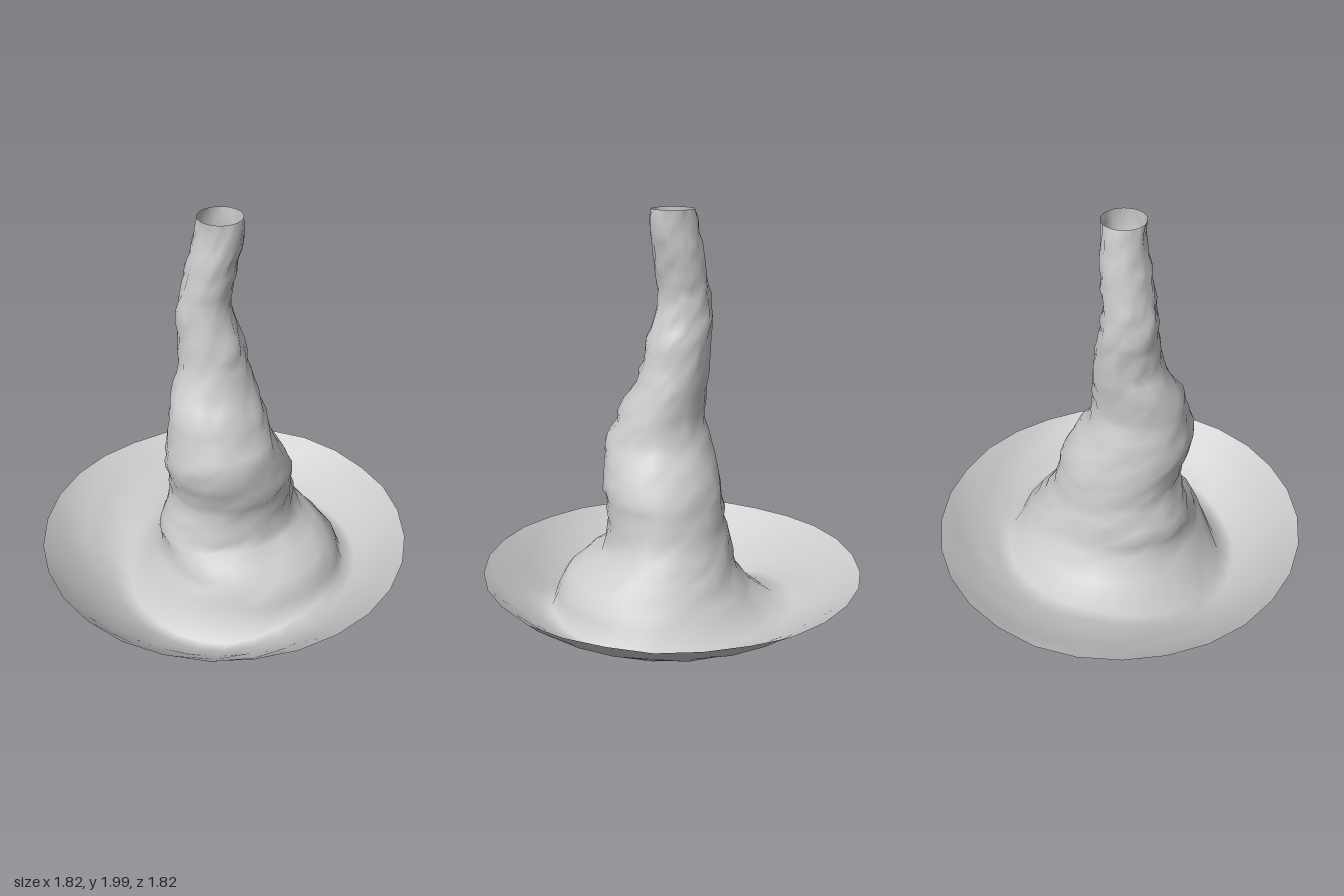
import * as THREE from 'three';

const SIDES = 28;

// Crown cross-sections from the flare up: y, xMin, xMax, zMin, zMax
const CROWN = [
  [0.20, -0.40, 0.55, -0.39, 0.55],
  [0.30, -0.35, 0.48, -0.32, 0.50],
  [0.36, -0.345, 0.435, -0.30, 0.42],
  [0.40, -0.345, 0.41, -0.29, 0.33],
  [0.50, -0.31, 0.345, -0.265, 0.31],
  [0.60, -0.28, 0.325, -0.25, 0.31],
  [0.70, -0.30, 0.31, -0.235, 0.325],
  [0.80, -0.33, 0.26, -0.21, 0.335],
  [0.90, -0.33, 0.19, -0.18, 0.33],
  [1.00, -0.31, 0.16, -0.15, 0.28],
  [1.10, -0.30, 0.145, -0.15, 0.24],
  [1.20, -0.25, 0.13, -0.16, 0.17],
  [1.30, -0.21, 0.11, -0.165, 0.14],
  [1.40, -0.20, 0.09, -0.18, 0.13],
  [1.50, -0.20, 0.06, -0.18, 0.09],
  [1.60, -0.19, 0.045, -0.17, 0.07],
  [1.80, -0.15, 0.07, -0.14, 0.09],
  [1.90, -0.125, 0.075, -0.12, 0.10],
  [2.00, -0.12, 0.08, -0.10, 0.10],
];

function seeded(seed) {
  return () => {
    seed = (seed * 16807) % 2147483647;
    return seed / 2147483647 - 0.5;
  };
}

// Point at angle a on the ellipse filling the given bounds
function ellipse(a, [x0, x1, z0, z1]) {
  return [(x0 + x1) / 2 + Math.cos(a) * (x1 - x0) / 2, (z0 + z1) / 2 + Math.sin(a) * (z1 - z0) / 2];
}

// Lowest line of the brim, drooping on the model's right
function valley(a) {
  const [x, z] = ellipse(a, [-0.5, 0.6, -0.5, 0.58]);
  const c = Math.cos(a + 0.2);
  const droop = THREE.MathUtils.smoothstep(-c, 0, 1);
  return [x, 0.13 - 0.12 * droop - 0.03 * Math.max(c, 0), z];
}

// Skin a list of rings, each a list of [x, y, z]
function skin(rings) {
  const index = [];
  for (let i = 0; i < rings.length - 1; i++) {
    for (let j = 0; j < SIDES; j++) {
      const k = (j + 1) % SIDES;
      const a = i * SIDES + j, b = i * SIDES + k;
      const c = a + SIDES, d = b + SIDES;
      index.push(a, c, b, b, c, d);
    }
  }
  const geometry = new THREE.BufferGeometry();
  geometry.setAttribute('position', new THREE.Float32BufferAttribute(rings.flat(2), 3));
  geometry.setIndex(index);
  geometry.computeVertexNormals();
  return geometry;
}

export function createModel() {
  const rand = seeded(4217);
  const felt = new THREE.MeshStandardMaterial({ color: 0xcccccc, side: THREE.DoubleSide });
  felt.name = 'greyFelt';

  const ring = (f) => Array.from({ length: SIDES }, (_, j) => f((j / SIDES) * Math.PI * 2));
  const rings = [];

  // Brim: from the raised rim down to the valley
  for (const t of [1, 0.8, 0.6, 0.4, 0.2, 0]) {
    rings.push(ring((a) => {
      const [vx, vy, vz] = valley(a);
      const rimY = 0.292 + 0.008 * Math.sin(a) + rand() * 0.01;
      const wobble = t < 1 ? rand() * 0.012 : 0;
      return [
        THREE.MathUtils.lerp(vx, 0.91 * Math.cos(a), t),
        Math.max(0, THREE.MathUtils.lerp(vy, rimY, t ** 1.5) + wobble),
        THREE.MathUtils.lerp(vz, 0.91 * Math.sin(a), t),
      ];
    }));
  }

  // Crown: crumpled, bent tube open at the tip
  CROWN.forEach((row, i) => {
    const next = CROWN[i + 1];
    const steps = next ? Math.max(1, Math.round((next[0] - row[0]) / 0.05)) : 1;
    for (let s = 0; s < steps; s++) {
      const [y, ...bounds] = row.map((v, k) => (next ? THREE.MathUtils.lerp(v, next[k], s / steps) : v));
      const phase = rand() * 6;
      const fold = rand() * 0.012;
      rings.push(ring((a) => {
        const [x, z] = ellipse(a, bounds);
        const bump = next ? fold * Math.sin(a * 2 + phase) + rand() * 0.014 : 0;
        const lift = next ? rand() * 0.015 : 0;
        return [x + Math.cos(a) * bump, y + lift, z + Math.sin(a) * bump];
      }));
    }
  });

  const hat = new THREE.Mesh(skin(rings), felt);
  hat.name = 'pointedHat';
  const group = new THREE.Group();
  group.name = 'hat';
  group.add(hat);
  return group;
}
